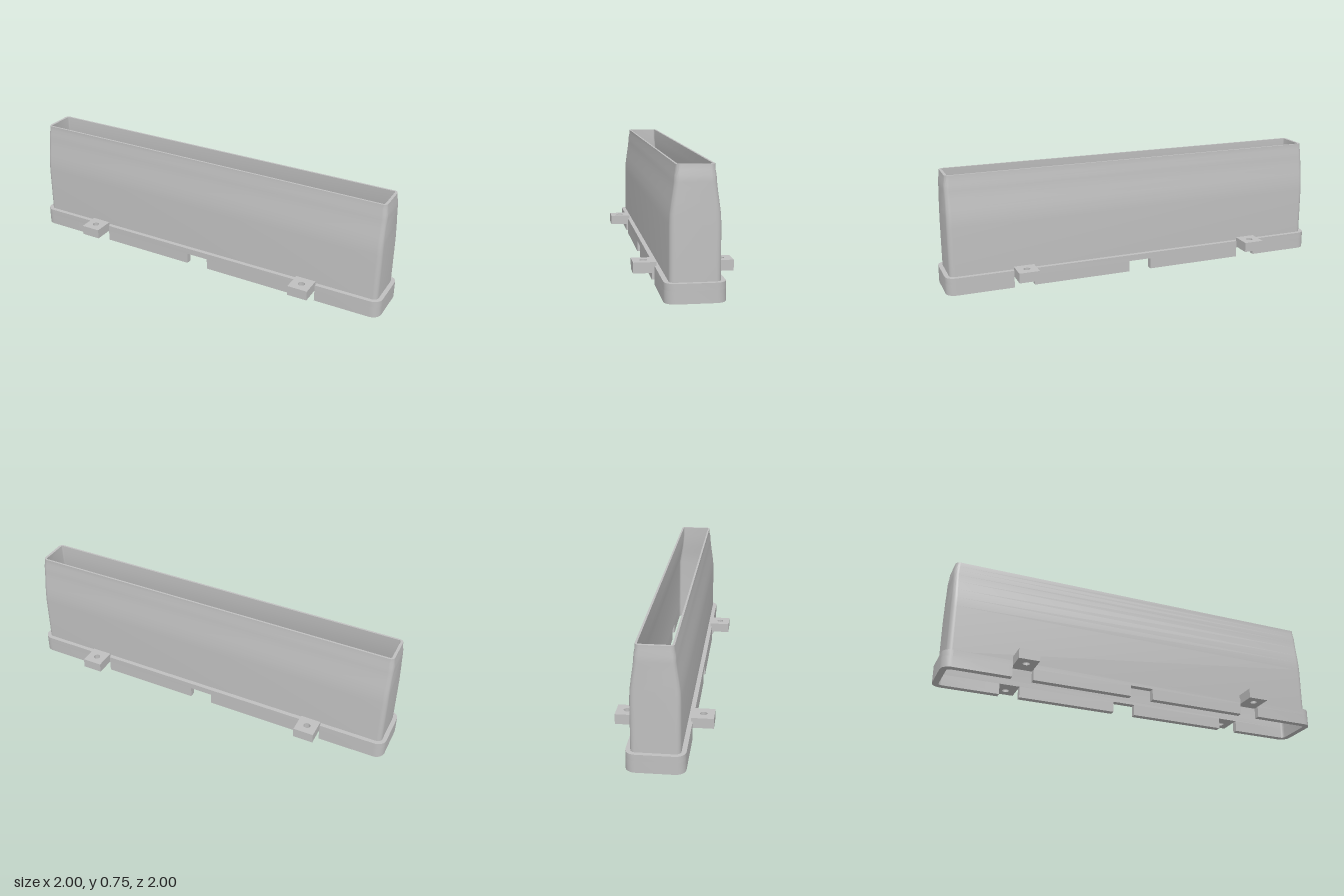
import * as THREE from 'three';
import { toCreasedNormals } from 'three/addons/utils/BufferGeometryUtils.js';

const CREASE = 0.45;

// Counter-clockwise rounded rectangle from half sizes and corner radius
function roundedLoop(L, W, r, seg = 6) {
  const pts = [];
  [[1, 1], [-1, 1], [-1, -1], [1, -1]].forEach(([sx, sy], q) => {
    for (let i = 0; i <= seg; i++) {
      const a = (q + i / seg) * Math.PI / 2;
      pts.push(new THREE.Vector2(sx * (L - r) + r * Math.cos(a), sy * (W - r) + r * Math.sin(a)));
    }
  });
  return pts;
}

// Upright extrusion of a plan shape from y0 to y1
function slab(shape, y0, y1) {
  const g = new THREE.ExtrudeGeometry(shape, { depth: y1 - y0, bevelEnabled: false, curveSegments: 16 });
  g.rotateX(-Math.PI / 2);
  g.translate(0, y0, 0);
  return toCreasedNormals(g, CREASE);
}

// Skin through stacked rounded rectangles [y, L, W, r]
function loft(sections) {
  const pos = [], idx = [];
  let n = 0;
  for (const [y, L, W, r] of sections) {
    const loop = roundedLoop(L, W, r);
    n = loop.length;
    for (const p of loop) pos.push(p.x, y, -p.y);
  }
  for (let i = 0; i < sections.length - 1; i++) {
    for (let j = 0; j < n; j++) {
      const k = (j + 1) % n;
      const a = i * n + j, b = i * n + k, c = b + n, d = a + n;
      idx.push(a, b, c, a, c, d);
    }
  }
  const g = new THREE.BufferGeometry();
  g.setAttribute('position', new THREE.Float32BufferAttribute(pos, 3));
  g.setIndex(idx);
  g.computeVertexNormals();
  return toCreasedNormals(g, CREASE);
}

export function createModel() {
  const model = new THREE.Group();
  model.name = 'rectangularShroud';
  const body = new THREE.Group();
  body.name = 'shroudBody';
  body.rotation.y = -Math.PI / 4; // long axis lies on the diagonal
  model.add(body);

  const grey = new THREE.MeshStandardMaterial({ color: 0xbfbfbf });
  grey.name = 'grey';
  const add = (geometry, name) => {
    const m = new THREE.Mesh(geometry, grey);
    m.name = name;
    body.add(m);
    return m;
  };

  const L = 1.277, W = 0.17, R = 0.06;      // flange outside
  const iL = 1.238, iW = 0.13, iR = 0.02;   // flange inside
  const notchTop = 0.072, flangeTop = 0.112;
  const tabU = 0.787, tabHalf = 0.066;

  // Thin wall: up the outside, over the rim, down the inside
  add(loft([
    [flangeTop - 0.002, 1.25, 0.142, 0.032],
    [0.42, 1.25, 0.142, 0.032],
    [0.48, 1.249, 0.139, 0.032],
    [0.54, 1.249, 0.131, 0.031],
    [0.6, 1.248, 0.122, 0.03],
    [0.65, 1.248, 0.116, 0.03],
    [0.685, 1.247, 0.114, 0.03],
    [0.715, 1.242, 0.108, 0.028],
    [0.745, 1.24, 0.107, 0.028],
    [0.745, 1.223, 0.095, 0.012],
    [0.685, 1.223, 0.096, 0.012],
    [0.6, 1.226, 0.105, 0.014],
    [0.54, 1.231, 0.116, 0.016],
    [0.46, 1.237, 0.129, 0.02],
    [flangeTop - 0.002, iL, iW, iR],
  ]), 'wall');

  // Continuous upper part of the flange
  const ring = new THREE.Shape(roundedLoop(L, W, R));
  ring.holes.push(new THREE.Path(roundedLoop(iL, iW, iR)));
  add(slab(ring, notchTop, flangeTop), 'flangeRing');

  // Lower flange, interrupted by notches: two wrapped ends and four straight runs
  const endU = tabU + tabHalf;
  for (const s of [1, -1]) {
    const half = (loop) => loop.filter((p) => p.x > 0).sort((a, b) => a.y - b.y || 0);
    const outer = half(roundedLoop(L, W, R));
    const inner = half(roundedLoop(iL, iW, iR)).reverse();
    const end = new THREE.Shape([
      new THREE.Vector2(endU, -W), ...outer, new THREE.Vector2(endU, W),
      new THREE.Vector2(endU, iW), ...inner, new THREE.Vector2(endU, -iW),
    ]);
    const m = add(slab(end, 0, notchTop), 'flangeEnd');
    if (s < 0) m.rotation.y = Math.PI;

    for (const t of [1, -1]) {
      const u0 = 0.075, u1 = tabU - tabHalf;
      const run = add(new THREE.BoxGeometry(u1 - u0, notchTop, W - iW), 'flangeRun');
      run.position.set(s * (u0 + u1) / 2, notchTop / 2, t * (W + iW) / 2);
    }
  }

  // Four mounting tabs with screw holes
  const v0 = 0.16, v1 = 0.295, holeV = 0.229;
  const tab = new THREE.Shape([
    new THREE.Vector2(-tabHalf, v0), new THREE.Vector2(tabHalf, v0),
    new THREE.Vector2(tabHalf, v1), new THREE.Vector2(-tabHalf, v1),
  ]);
  const hole = new THREE.Path();
  hole.absarc(0, holeV, 0.022, 0, Math.PI * 2, true);
  tab.holes.push(hole);
  const tabGeometry = slab(tab, notchTop, 0.136);
  for (const s of [1, -1]) {
    for (const t of [1, -1]) {
      const m = add(tabGeometry, 'mountingTab');
      m.position.x = s * tabU;
      if (t < 0) m.rotation.y = Math.PI;
    }
  }
  return model;
}
